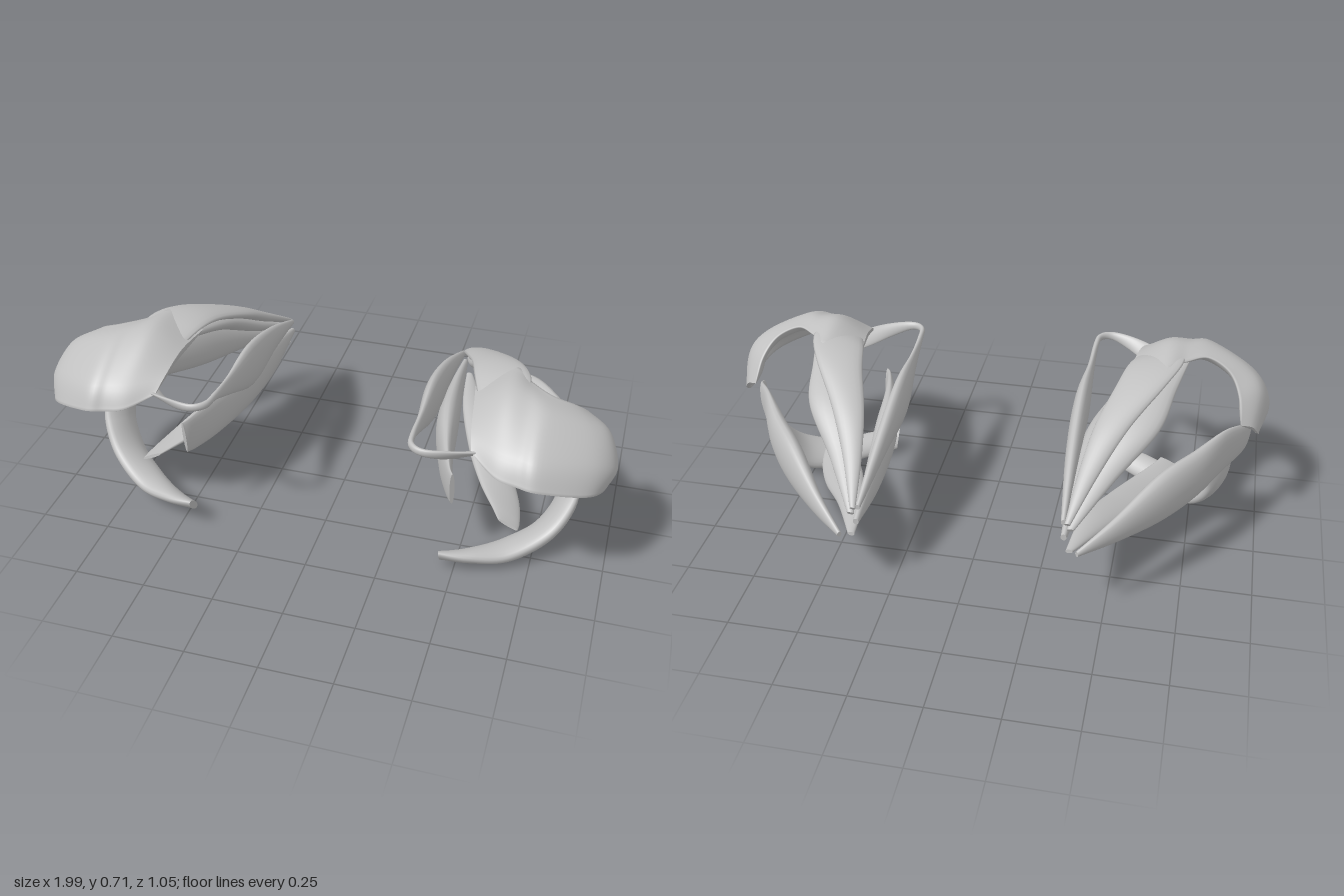
import * as THREE from 'three';

const tissue = new THREE.MeshStandardMaterial({ color: 0xc0c0c0 });
tissue.name = 'grey tissue';

// Smooth interpolation through rows of numbers, t from 0 to 1
function blend(rows, t) {
  const last = rows.length - 1;
  const i = Math.min(Math.floor(t * last), last - 1);
  const f = t * last - i;
  const row = (k) => rows[Math.max(0, Math.min(last, k))];
  return row(i).map((b, k) => {
    const a = row(i - 1)[k], c = row(i + 1)[k], d = row(i + 2)[k];
    return b + 0.5 * f * (c - a + f * (2 * a - 5 * b + 4 * c - d + f * (3 * (b - c) + d - a)));
  });
}

// Closed skin over a list of rings; side = -1 mirrors it
function skin(rings, side) {
  const n = rings[0].length, pos = [], idx = [];
  const tri = (a, b, c) => (side > 0 ? idx.push(a, b, c) : idx.push(a, c, b));
  const put = (p) => pos.push(p.x * side, p.y, p.z) / 3 - 1;
  rings.forEach((ring) => ring.forEach(put));
  for (let i = 0; i < rings.length - 1; i++) {
    for (let j = 0; j < n; j++) {
      const a = i * n + j, b = i * n + ((j + 1) % n);
      tri(a, b, a + n);
      tri(b, b + n, a + n);
    }
  }
  // end caps
  [0, rings.length - 1].forEach((r) => {
    const centre = rings[r].reduce((s, p) => s.add(p), new THREE.Vector3()).divideScalar(n);
    const ids = rings[r].map(put), c = put(centre);
    ids.forEach((a, j) => {
      const b = ids[(j + 1) % n];
      if (r === 0) tri(c, b, a); else tri(c, a, b);
    });
  });
  const geo = new THREE.BufferGeometry();
  geo.setAttribute('position', new THREE.Float32BufferAttribute(pos, 3));
  geo.setIndex(idx);
  geo.computeVertexNormals();
  return geo;
}

// Muscle band: each section is centre xyz, half-width vector xyz, half thickness
function band(sections, side, steps = 40, n = 20) {
  const at = (t) => new THREE.Vector3(...blend(sections, t).slice(0, 3));
  const rings = [];
  for (let i = 0; i <= steps; i++) {
    const t = i / steps;
    const s = blend(sections, t);
    const c = at(t), w = new THREE.Vector3(s[3], s[4], s[5]);
    const tangent = at(Math.min(1, t + 0.01)).sub(at(Math.max(0, t - 0.01)));
    const normal = tangent.cross(w).normalize().multiplyScalar(s[6]);
    rings.push(Array.from({ length: n }, (_, j) => {
      const a = (j / n) * Math.PI * 2;
      return c.clone().addScaledVector(w, Math.cos(a)).addScaledVector(normal, Math.sin(a));
    }));
  }
  return skin(rings, side);
}

// Curved shell through columns of points, thickened inwards with rounded rims
function shell(columns, thickness, side, nu = 48, nv = 20) {
  const flat = columns.map((col) => col.flat());
  const at = (u, v) => {
    const f = blend(flat, u), col = [];
    for (let k = 0; k < f.length; k += 3) col.push(f.slice(k, k + 3));
    return new THREE.Vector3(...blend(col, v));
  };
  const rings = [];
  for (let i = 0; i <= nu; i++) {
    const u = i / nu, outer = [], inner = [];
    for (let j = 0; j <= nv; j++) {
      const v = j / nv, e = 0.01;
      const p = at(u, v);
      const du = at(Math.min(1, u + e), v).sub(at(Math.max(0, u - e), v));
      const dv = at(u, Math.min(1, v + e)).sub(at(u, Math.max(0, v - e)));
      const rim = Math.min(1, 0.15 + 8 * Math.min(v, 1 - v)) * Math.min(1, 0.25 + 8 * Math.min(u, 1 - u));
      outer.push(p);
      inner.unshift(p.clone().addScaledVector(du.cross(dv).normalize(), thickness * rim));
    }
    rings.push([...outer, ...inner]);
  }
  return skin(rings, side);
}

// Straight and oblique muscles of one side
const muscles = {
  lateralMuscle: [
    [0.405, 0.265, -0.525, 0, 0.01, 0, 0.008],
    [0.52, 0.297, -0.41, 0, 0.05, 0, 0.022],
    [0.65, 0.333, -0.25, 0, 0.097, 0, 0.04],
    [0.755, 0.348, -0.11, 0, 0.097, 0, 0.037],
    [0.848, 0.362, 0.04, 0, 0.087, 0, 0.02],
    [0.915, 0.354, 0.15, 0, 0.06, 0, 0.013],
    [0.935, 0.345, 0.218, 0, 0.036, 0, 0.008],
  ],
  medialMuscle: [
    [0.355, 0.3, -0.49, 0, 0.012, 0, 0.01],
    [0.365, 0.31, -0.25, 0, 0.065, 0, 0.028],
    [0.385, 0.335, 0, 0, 0.088, 0, 0.04],
    [0.42, 0.338, 0.2, 0, 0.083, 0, 0.026],
    [0.455, 0.334, 0.32, 0, 0.075, 0.01, 0.014],
    [0.475, 0.332, 0.358, 0, 0.07, 0.01, 0.009],
  ],
  upperMuscle: [
    [0.375, 0.325, -0.48, 0.012, 0, 0, 0.008],
    [0.45, 0.42, -0.3, 0.05, 0, 0, 0.025],
    [0.54, 0.52, -0.13, 0.082, 0, 0, 0.034],
    [0.585, 0.58, 0.05, 0.078, 0, 0, 0.028],
    [0.62, 0.61, 0.2, 0.074, 0, 0, 0.014],
    [0.64, 0.605, 0.29, 0.07, 0, 0, 0.008],
  ],
  lowerMuscle: [
    [0.375, 0.245, -0.49, 0.012, 0, 0, 0.007],
    [0.44, 0.22, -0.28, 0.05, -0.02, 0, 0.025],
    [0.53, 0.165, -0.08, 0.075, -0.03, 0, 0.03],
    [0.6, 0.138, 0.08, 0.073, -0.03, 0, 0.02],
    [0.645, 0.136, 0.2, 0.05, -0.022, 0, 0.011],
    [0.66, 0.14, 0.258, 0.036, -0.018, 0, 0.006],
  ],
  upperObliqueMuscle: [
    [0.35, 0.35, -0.475, 0, 0.01, 0, 0.008],
    [0.338, 0.435, -0.2, 0, 0.05, 0, 0.024],
    [0.334, 0.472, 0.05, 0, 0.086, 0, 0.029],
    [0.338, 0.51, 0.25, 0, 0.04, 0, 0.014],
    [0.34, 0.545, 0.38, 0, 0.015, 0, 0.01],
    [0.35, 0.55, 0.445, 0, 0.014, 0, 0.01],
    [0.395, 0.547, 0.47, 0, 0.015, 0.004, 0.01],
    [0.47, 0.535, 0.445, 0.005, 0.022, 0.012, 0.009],
    [0.55, 0.522, 0.39, 0.01, 0.022, 0.03, 0.008],
    [0.64, 0.51, 0.31, 0.02, 0.01, 0.04, 0.005],
  ],
  lowerObliqueMuscle: [
    [0.45, 0.06, 0.388, 0, 0.032, 0.028, 0.014],
    [0.55, 0.048, 0.345, 0, 0.028, 0.05, 0.026],
    [0.67, 0.042, 0.27, 0.008, 0.018, 0.07, 0.035],
    [0.78, 0.088, 0.19, 0.025, 0.03, 0.066, 0.034],
    [0.84, 0.19, 0.127, 0.028, 0.02, 0.062, 0.03],
    [0.835, 0.3, 0.08, 0.05, 0.005, 0.052, 0.014],
  ],
  lidLifter: [
    [0.365, 0.35, -0.485, 0.01, 0, 0, 0.008],
    [0.41, 0.45, -0.32, 0.035, 0, 0, 0.018],
    [0.465, 0.545, -0.17, 0.06, 0.005, 0, 0.022],
    [0.54, 0.62, -0.01, 0.085, 0.01, 0, 0.022],
    [0.58, 0.644, 0.11, 0.095, 0.012, 0, 0.018],
    [0.6, 0.635, 0.22, 0.08, 0.02, 0, 0.01],
  ],
};

// Upper lid, medial to lateral columns, each from the back edge to the front margin
const lid = [
  [[0.49, 0.615, 0.09], [0.51, 0.617, 0.24], [0.525, 0.58, 0.36], [0.54, 0.54, 0.42]],
  [[0.61, 0.66, 0.06], [0.61, 0.676, 0.24], [0.62, 0.58, 0.42], [0.625, 0.505, 0.483]],
  [[0.685, 0.655, 0.135], [0.69, 0.668, 0.26], [0.695, 0.578, 0.44], [0.7, 0.494, 0.499]],
  [[0.76, 0.65, 0.188], [0.765, 0.65, 0.3], [0.77, 0.57, 0.45], [0.775, 0.487, 0.503]],
  [[0.84, 0.612, 0.165], [0.9, 0.595, 0.25], [0.935, 0.52, 0.355], [0.925, 0.44, 0.415]],
  [[0.882, 0.55, 0.105], [0.955, 0.54, 0.18], [0.996, 0.455, 0.25], [0.975, 0.398, 0.28]],
  [[0.897, 0.47, 0.046], [0.938, 0.45, 0.075], [0.96, 0.415, 0.1], [0.968, 0.382, 0.145]],
];

export function createModel() {
  const model = new THREE.Group();
  model.name = 'eyeMuscles';
  for (const side of [1, -1]) {
    const set = new THREE.Group();
    set.name = side > 0 ? 'leftMuscleSet' : 'rightMuscleSet';
    const add = (name, geo) => {
      const mesh = new THREE.Mesh(geo, tissue);
      mesh.name = name;
      set.add(mesh);
    };
    for (const [name, sections] of Object.entries(muscles)) add(name, band(sections, side));
    add('upperLid', shell(lid, 0.035, side));
    // the right set sits slightly higher and further forward
    if (side < 0) set.position.set(0, 0.033, 0.012);
    model.add(set);
  }
  return model;
}
